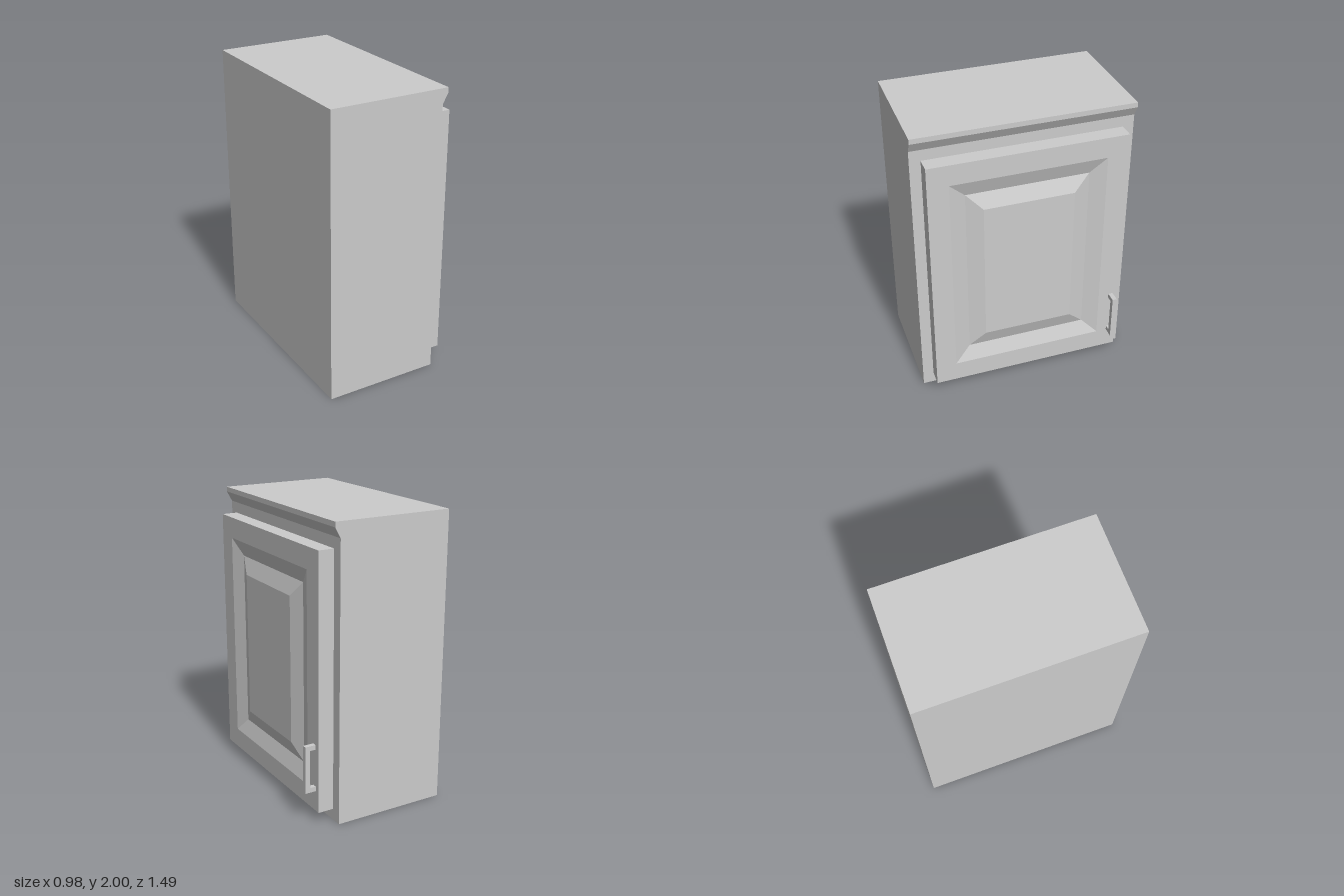
import * as THREE from 'three';

const material = new THREE.MeshStandardMaterial({ color: 0xcccccc, flatShading: true });

// Extrude an xy outline along z between two planes
function extrudeZ(name, points, z0, z1) {
  const shape = new THREE.Shape(points.map(([x, y]) => new THREE.Vector2(x, y)));
  const geometry = new THREE.ExtrudeGeometry(shape, { depth: z1 - z0, bevelEnabled: false });
  geometry.translate(0, 0, z0);
  const mesh = new THREE.Mesh(geometry, material);
  mesh.name = name;
  return mesh;
}

// Skin nested rectangles [x, halfWidth, bottom, top], from the back to the front
function rectangleLoft(rings) {
  const positions = [];
  const index = [];
  for (const [x, h, y0, y1] of rings) {
    positions.push(x, y0, -h, x, y1, -h, x, y1, h, x, y0, h);
  }
  for (let r = 0; r < rings.length - 1; r++) {
    for (let i = 0; i < 4; i++) {
      const j = (i + 1) % 4;
      const a = r * 4 + i, b = r * 4 + j, c = b + 4, d = a + 4;
      index.push(a, b, c, a, c, d);
    }
  }
  const f = (rings.length - 1) * 4;
  index.push(0, 2, 1, 0, 3, 2, f, f + 1, f + 2, f, f + 2, f + 3);
  const indexed = new THREE.BufferGeometry();
  indexed.setAttribute('position', new THREE.Float32BufferAttribute(positions, 3));
  indexed.setIndex(index);
  const geometry = indexed.toNonIndexed();
  geometry.computeVertexNormals();
  return geometry;
}

export function createModel() {
  const group = new THREE.Group();
  group.name = 'wallCabinet';

  // Cabinet body with a flared crown lip along the door side
  group.add(extrudeZ('cabinetBody', [
    [-0.492, 0], [0.305, 0], [0.305, 1.897], [0.343, 1.966], [0.343, 2], [-0.492, 2],
  ], -0.745, 0.745));

  // Door: slab, sloped groove and raised centre panel
  const door = new THREE.Mesh(rectangleLoft([
    [0.305, 0.671, 0.078, 1.822],
    [0.415, 0.671, 0.078, 1.822],
    [0.415, 0.529, 0.22, 1.677],
    [0.378, 0.419, 0.33, 1.567],
    [0.415, 0.309, 0.44, 1.457],
  ]), material);
  door.name = 'door';
  group.add(door);

  // Square bracket pull near the back edge of the door
  group.add(extrudeZ('doorHandle', [
    [0.415, 0.22], [0.49, 0.22], [0.49, 0.547], [0.415, 0.547],
    [0.415, 0.515], [0.456, 0.515], [0.456, 0.253], [0.415, 0.253],
  ], -0.635, -0.603));

  return group;
}
